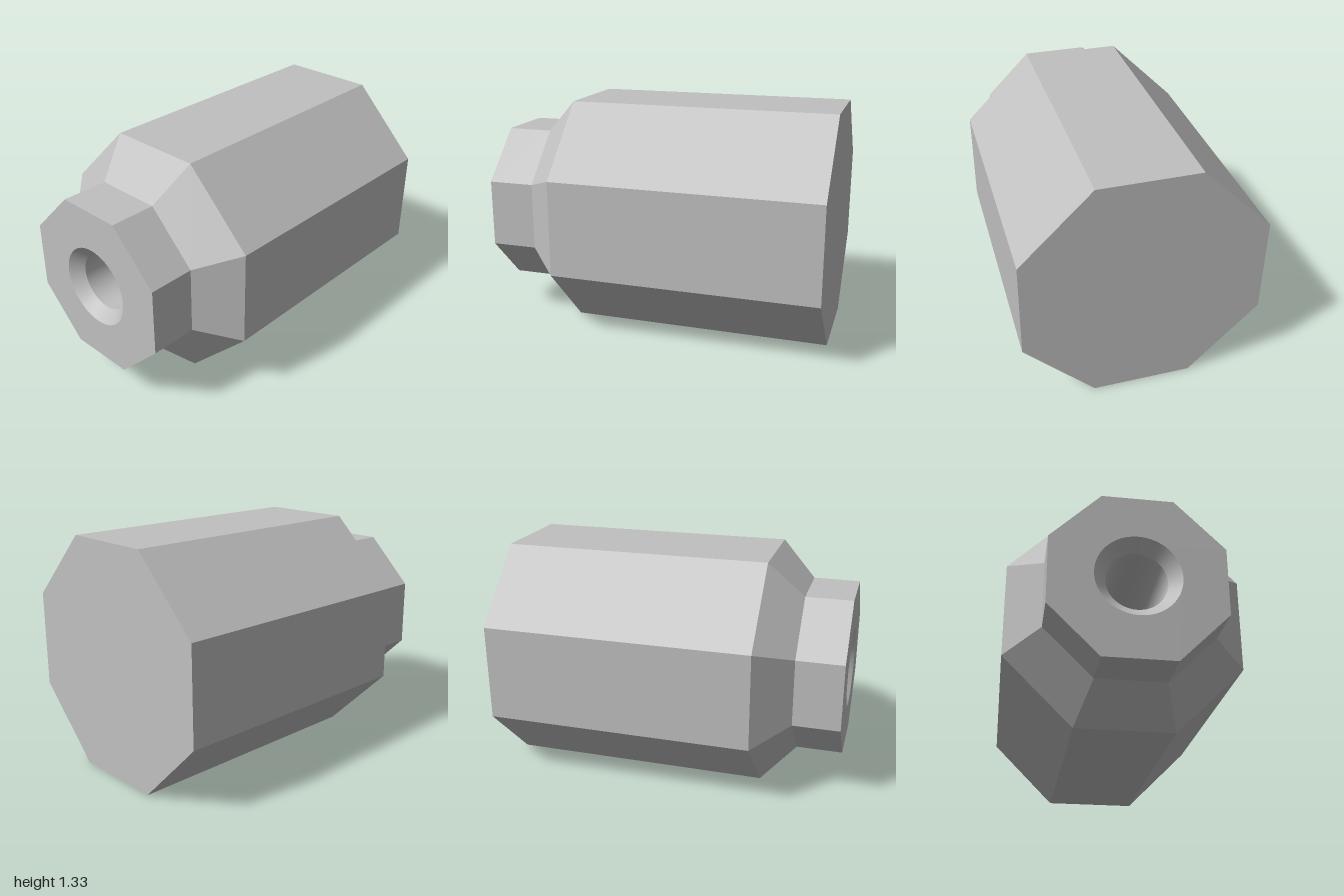
import * as THREE from 'three';

// Lathe profile given as [x, radius] pairs, turned around the x axis
function turned(points, sides, start = 0) {
  const profile = points.map(([x, r]) => new THREE.Vector2(r, x));
  return new THREE.LatheGeometry(profile, sides, start).rotateZ(-Math.PI / 2);
}

// Flat normals for faceted parts
function faceted(geometry) {
  const flat = geometry.toNonIndexed();
  flat.computeVertexNormals();
  return flat;
}

export function createModel() {
  const group = new THREE.Group();
  group.name = 'octagonalFitting';
  const grey = new THREE.MeshStandardMaterial({ color: 0xc0c0c0 });
  grey.name = 'grey';

  const axisY = 0.667;
  const corner = 1 / Math.cos(Math.PI / 8); // flat distance to corner radius
  const bodyR = 0.667 * corner;
  const neckR = 0.467 * corner;
  const mouthR = 0.23;
  const boreR = 0.165;

  function add(name, geometry) {
    const mesh = new THREE.Mesh(geometry, grey);
    mesh.name = name;
    mesh.position.y = axisY;
    group.add(mesh);
  }

  // Eight-sided shell
  const oct = Math.PI / 8;
  add('neck', faceted(turned([[-1, neckR], [-0.733, neckR]], 8, oct)));
  add('shoulder', faceted(turned([[-0.733, neckR], [-0.533, bodyR]], 8, oct)));
  add('body', faceted(turned([[-0.533, bodyR], [1, bodyR]], 8, oct)));
  add('endCap', new THREE.CircleGeometry(bodyR, 8, oct).rotateY(Math.PI / 2).translate(1, 0, 0));

  // Neck face with a round opening
  const face = new THREE.Shape();
  for (let i = 0; i < 8; i++) {
    const a = oct + (i * Math.PI) / 4;
    face[i ? 'lineTo' : 'moveTo'](neckR * Math.cos(a), neckR * Math.sin(a));
  }
  face.closePath();
  face.holes.push(new THREE.Path().absarc(0, 0, mouthR, 0, Math.PI * 2, true));
  add('neckFace', new THREE.ShapeGeometry(face, 24).rotateY(-Math.PI / 2).translate(-1, 0, 0));

  // Chamfered blind bore, facing inwards
  const chamferX = -1 + mouthR - boreR;
  const floorX = -0.3;
  add('boreChamfer', turned([[chamferX, boreR], [-1, mouthR]], 48));
  add('boreWall', turned([[floorX, boreR], [chamferX, boreR]], 48));
  add('boreFloor', new THREE.CircleGeometry(boreR, 48).rotateY(-Math.PI / 2).translate(floorX, 0, 0));

  return group;
}
